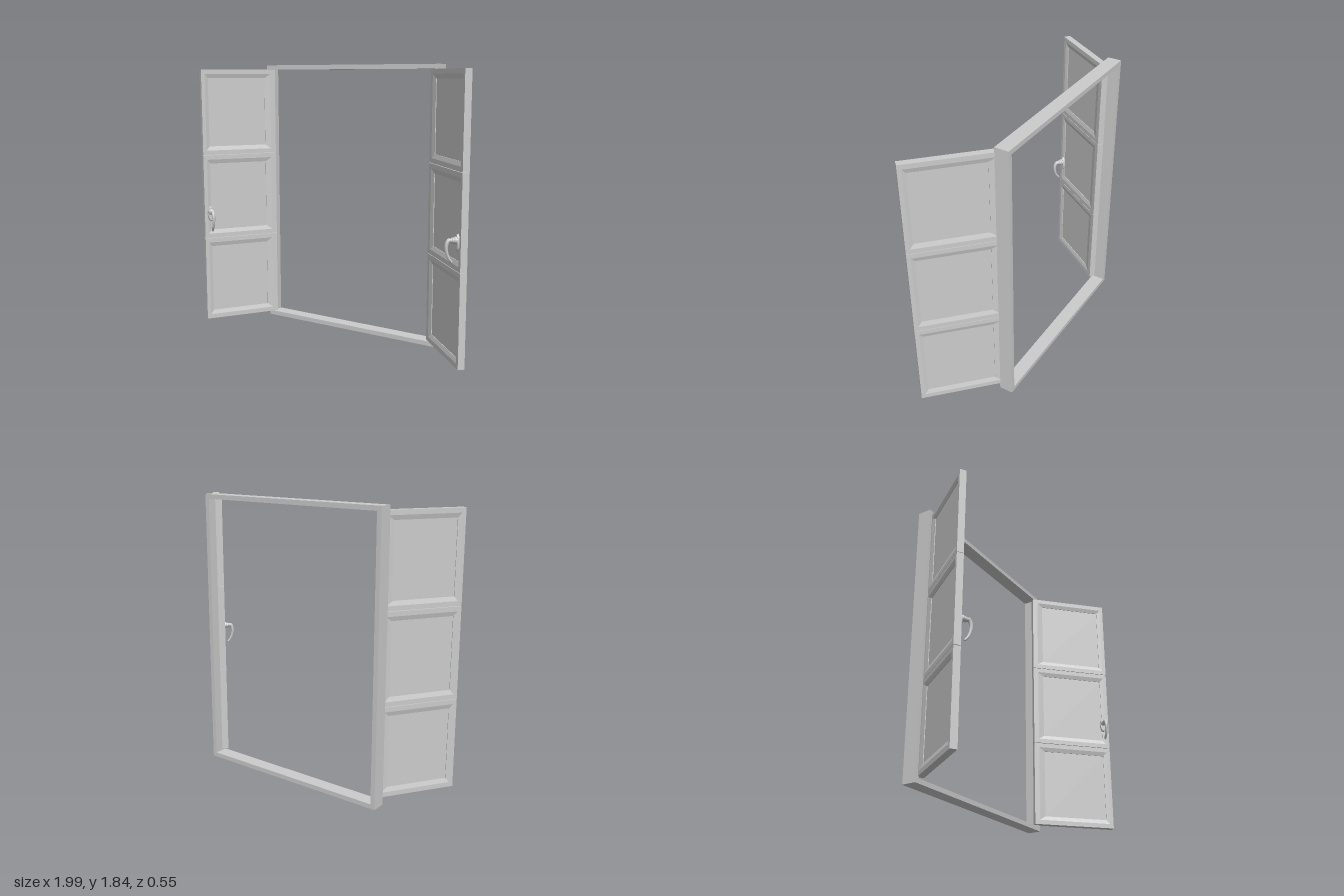
import * as THREE from 'three';

const grey = new THREE.MeshStandardMaterial({ color: 0xcccccc });
const flat = new THREE.MeshStandardMaterial({ color: 0xcccccc, flatShading: true });

function mesh(name, geometry, material, parent, x = 0, y = 0, z = 0) {
  const m = new THREE.Mesh(geometry, material);
  m.name = name;
  m.position.set(x, y, z);
  parent.add(m);
  return m;
}

// Closed slab section with a bevelled, sunken panel on both faces.
// Each loop is a rectangle: hinge inset, free-edge inset, vertical inset, depth.
function sectionGeometry(s, width, height, depth) {
  const face = [[0.075, 0.048, 0.06, -0.012], [0.075, 0.048, 0.06, -0.008],
    [0.035, 0.025, 0.032, 0], [0, 0, 0.0015, 0]];
  const loops = [...face, ...face.map(([a, b, c, z]) => [a, b, c, -depth - z]).reverse()];
  const rings = loops.map(([a, b, c, z]) => [
    [a, c], [width - b, c], [width - b, height - c], [a, height - c],
  ].map(([x, y]) => [s * x, y, z]));
  const pos = [];
  const quad = (a, b, c, d) => {
    const corners = s > 0 ? [a, b, c, a, c, d] : [a, c, b, a, d, c];
    corners.forEach((p) => pos.push(...p));
  };
  quad(...rings[0]);
  for (let i = 0; i < rings.length - 1; i++) {
    for (let k = 0; k < 4; k++) {
      const n = (k + 1) % 4;
      quad(rings[i][k], rings[i + 1][k], rings[i + 1][n], rings[i][n]);
    }
  }
  quad(...[...rings[rings.length - 1]].reverse());
  const g = new THREE.BufferGeometry();
  g.setAttribute('position', new THREE.Float32BufferAttribute(pos, 3));
  g.computeVertexNormals();
  return g;
}

// Tube whose radius shrinks along its path
function taperedTube(curve, segments, r0, r1, sides) {
  const g = new THREE.TubeGeometry(curve, segments, r0, sides, false);
  const p = g.attributes.position, v = new THREE.Vector3();
  for (let i = 0; i < p.count; i++) {
    const t = Math.floor(i / (sides + 1)) / segments;
    const c = curve.getPointAt(t);
    v.fromBufferAttribute(p, i).sub(c).multiplyScalar(1 + (r1 / r0 - 1) * t).add(c);
    p.setXYZ(i, v.x, v.y, v.z);
  }
  g.computeVertexNormals();
  return g;
}

function createHandle() {
  const handle = new THREE.Group();
  handle.name = 'handle';
  // Oval back plate
  const plate = mesh('handlePlate', new THREE.CylinderGeometry(0.021, 0.024, 0.012, 24), grey, handle, 0, -0.008, 0.006);
  plate.rotation.x = Math.PI / 2;
  plate.scale.z = 2.2;
  // Stepped neck
  const profile = [[0.021, 0.01], [0.021, 0.024], [0.017, 0.028], [0.017, 0.038],
    [0.013, 0.042], [0.013, 0.06], [0.009, 0.068], [0, 0.07]];
  const neck = mesh('handleNeck', new THREE.LatheGeometry(profile.map(([r, h]) => new THREE.Vector2(r, h)), 20), flat, handle, 0, 0.006, 0);
  neck.rotation.x = Math.PI / 2;
  // Curved grip hanging from the neck
  const path = new THREE.CatmullRomCurve3([[0.012, 0.05], [0, 0.064], [-0.03, 0.073],
    [-0.07, 0.068], [-0.1, 0.056], [-0.122, 0.038]].map(([y, z]) => new THREE.Vector3(0, y, z)));
  mesh('handleGrip', taperedTube(path, 24, 0.013, 0.007, 12), grey, handle);
  mesh('handleTip', new THREE.SphereGeometry(0.0073, 12, 8), grey, handle, 0, -0.122, 0.038);
  return handle;
}

// One hinged leaf; s is +1 for the left side (+x) and -1 for the right
function createLeaf(name, s, x, z, angle, width) {
  const leaf = new THREE.Group();
  leaf.name = name;
  const sectionHeight = 0.59;
  for (let i = 0; i < 3; i++) {
    mesh('panelSection', sectionGeometry(s, width, sectionHeight, 0.043), flat, leaf, 0, 0.04 + i * sectionHeight, 0);
  }
  const handle = createHandle();
  handle.position.set(s * (width - 0.043), 0.815, 0);
  leaf.add(handle);
  leaf.position.set(x, 0, z);
  leaf.rotation.y = -s * angle;
  return leaf;
}

export function createModel() {
  const model = new THREE.Group();
  model.name = 'openWindow';

  // Rectangular surround
  const x0 = -0.74, x1 = 0.62, top = 1.84, bar = 0.03;
  const rect = (Type, a, b, c, d) => {
    const r = new Type();
    r.moveTo(a, b).lineTo(c, b).lineTo(c, d).lineTo(a, d).closePath();
    return r;
  };
  const outline = rect(THREE.Shape, x0, 0, x1, top);
  outline.holes.push(rect(THREE.Path, x0 + bar, bar, x1 - bar, top - bar));
  mesh('surround', new THREE.ExtrudeGeometry(outline, { depth: 0.092, bevelEnabled: false }), flat, model, 0, 0, -0.277);

  // Hinge plates and pins on both jambs
  for (const jamb of [x0 + bar, x1 - bar]) {
    for (const y of [0.35, 0.94, 1.53]) {
      mesh('hingePlate', new THREE.BoxGeometry(0.006, 0.11, 0.025), flat, model, jamb, y, -0.2);
      mesh('hingePin', new THREE.CylinderGeometry(0.006, 0.006, 0.11, 10), grey, model, jamb, y, -0.186);
    }
  }

  // Opened leaves
  model.add(createLeaf('leftLeaf', 1, 0.56, -0.187, 0.77, 0.567));
  model.add(createLeaf('rightLeaf', -1, -0.668, -0.182, 0.99, 0.532));
  return model;
}
